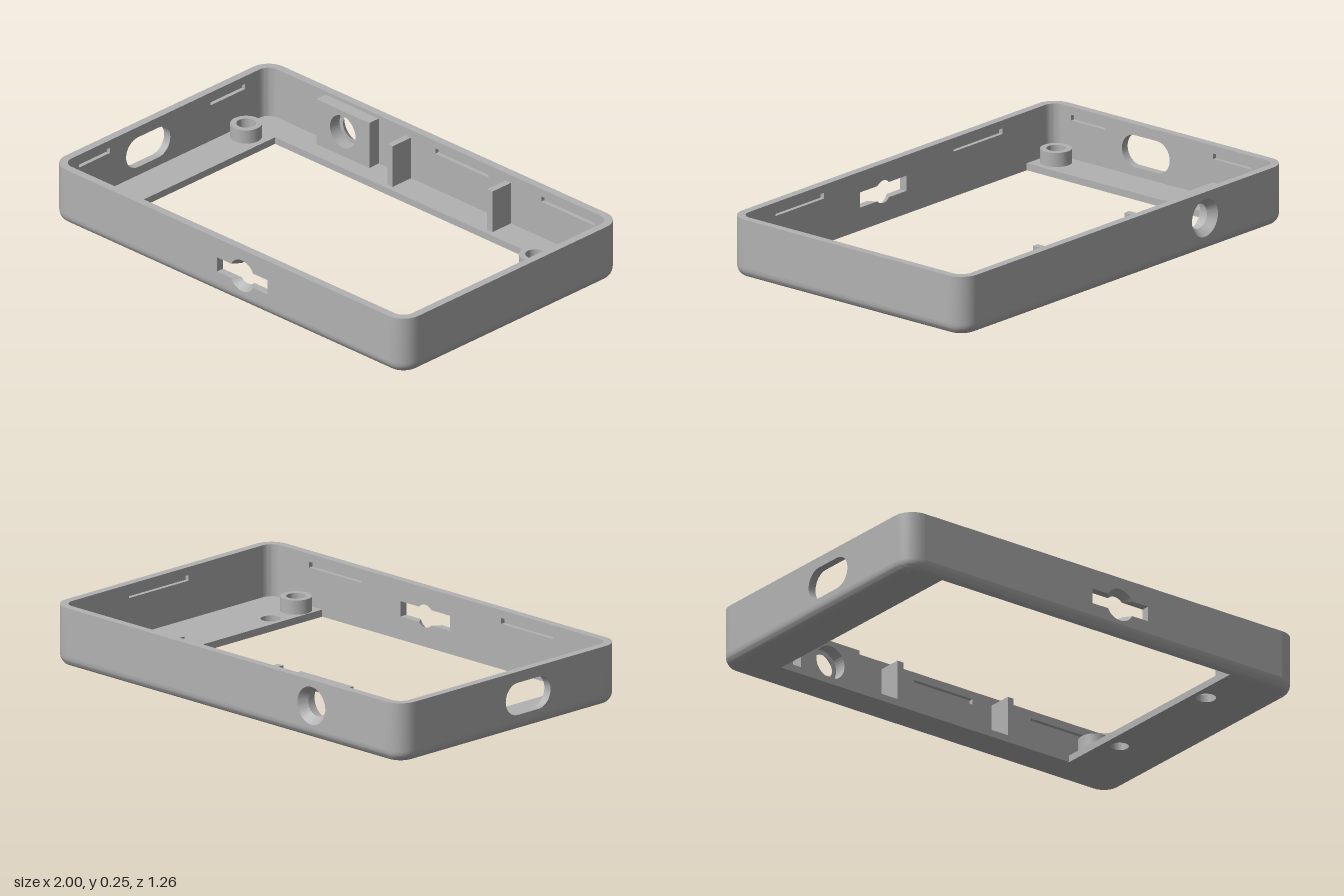
import * as THREE from 'three';
import { toCreasedNormals, mergeGeometries } from 'three/addons/utils/BufferGeometryUtils.js';

const W = 1, D = 0.63, H = 0.25;      // half width, half depth, height
const R = 0.085, T = 0.035;           // corner radius, wall thickness
const FLOOR = 0.03, INSET = 0.034, FILLET = 0.045;

const v2 = (x, y) => new THREE.Vector2(x, y);
const at = (pts, z) => pts.map(p => new THREE.Vector3(p.x, p.y, z));

// Quads between two rows of points
function loft(A, B, closed) {
  const pos = [], n = A.length;
  for (let i = 0; i < (closed ? n : n - 1); i++) {
    const j = (i + 1) % n;
    for (const p of [A[i], A[j], B[i], A[j], B[j], B[i]]) pos.push(p.x, p.y, p.z);
  }
  const g = new THREE.BufferGeometry();
  g.setAttribute('position', new THREE.Float32BufferAttribute(pos, 3));
  return toCreasedNormals(g, 0.6);
}

// Flat sheet with holes, facing +z or (flipped) -z
function sheet(pts, holes, z, flip) {
  const s = new THREE.Shape(pts);
  s.holes = holes.map(h => new THREE.Path(h));
  let g = new THREE.ShapeGeometry(s);
  if (flip) g.index.array.reverse();
  g = g.toNonIndexed();
  g.deleteAttribute('uv');
  g.translate(0, 0, z);
  g.computeVertexNormals();
  return g;
}

// Counter-clockwise outlines
const rect = (x0, x1, y0, y1) => [v2(x0, y0), v2(x1, y0), v2(x1, y1), v2(x0, y1)];
function arc(cx, cy, r, a0, a1, n = 16) {
  return Array.from({ length: n + 1 }, (_, i) => {
    const a = a0 + (a1 - a0) * i / n;
    return v2(cx + r * Math.cos(a), cy + r * Math.sin(a));
  });
}
const circle = (cx, cy, r) => arc(cx, cy, r, 0, Math.PI * 2, 40).slice(0, -1);
const stadium = (cx, cy, a, r) => [
  ...arc(cx + a, cy, r, -Math.PI / 2, Math.PI / 2), ...arc(cx - a, cy, r, Math.PI / 2, Math.PI * 1.5)];
function slotWithScoop(cx, cy, w, h, r) {
  const a = Math.asin(h / r), P = Math.PI;
  return [v2(cx + w, cy - h), v2(cx + w, cy + h), ...arc(cx, cy, r, a, P - a),
    v2(cx - w, cy + h), v2(cx - w, cy - h), ...arc(cx, cy, r, P + a, 2 * P - a)];
}

// Wall section as (inset, y): bottom fillet, outer face, rim, inner face
const fillet = Array.from({ length: 9 }, (_, i) => {
  const a = Math.PI / 2 * i / 8;
  return [INSET * (1 - Math.sin(a)), FILLET * (1 - Math.cos(a))];
});
const section = [...fillet, [0, H], [T, H], [T, 0]];

// Straight wall: outer face at z = 0, through cuts [outer, inner], shallow grooves [x0, x1]
function wallGeometry(half, cuts, grooves) {
  const strip = prof => loft(...[half, -half].map(x => prof.map(([i, y]) => new THREE.Vector3(x, y, -i))));
  const slots = grooves.map(([a, b]) => rect(a, b, 0.192, 0.216));
  const deep = -T + 0.018;
  return mergeGeometries([
    strip(fillet), strip([[0, H], [T, H]]),
    sheet(rect(-half, half, FILLET, H), cuts.map(c => c[0]), 0, false),
    sheet(rect(-half, half, 0, H), [...cuts.map(c => c[1]), ...slots], -T, true),
    ...cuts.map(([o, i]) => loft(at(o, 0), at(i, -T), true)),
    ...slots.flatMap(s => [loft(at(s, deep), at(s, -T), true), sheet(s, [], deep, true)]),
  ]);
}

export function createModel() {
  const model = new THREE.Group();
  const grey = new THREE.MeshStandardMaterial({ name: 'grey plastic', color: 0xb2b2b2 });
  const add = (name, geo, x = 0, y = 0, z = 0, ry = 0) => {
    const m = new THREE.Mesh(geo, grey);
    m.name = name;
    m.position.set(x, y, z);
    m.rotation.y = ry;
    model.add(m);
  };

  // Four walls with their openings and lid grooves
  const hx = W - R, hz = D - R;
  add('frontWall', wallGeometry(hx,
    [[slotWithScoop(0.085, 0.13, 0.1425, 0.0325, 0.07), slotWithScoop(0.085, 0.13, 0.1425, 0.0325, 0.048)]],
    [[0.45, 0.75], [-0.65, -0.35]]), 0, 0, D);
  add('backWall', wallGeometry(hx,
    [[circle(0.49, 0.14, 0.08), circle(0.49, 0.14, 0.052)]],
    [[-0.28, 0.02], [-0.88, -0.58]]), 0, 0, -D, Math.PI);
  add('leftWall', wallGeometry(hz, [], [[-0.12, 0.22]]), W, 0, 0, Math.PI / 2);
  const port = stadium(0.1, 0.135, 0.06, 0.068);
  add('rightWall', wallGeometry(hz, [[port, port]], [[0.32, 0.5], [-0.46, -0.26]]), -W, 0, 0, -Math.PI / 2);

  // Rounded corners
  const profile = section.map(([i, y]) => v2(R - i, y));
  [[1, 1], [1, -1], [-1, -1], [-1, 1]].forEach(([sx, sz], k) => {
    const g = new THREE.LatheGeometry(profile, 10, k * Math.PI / 2, Math.PI / 2);
    add('corner', toCreasedNormals(g, 0.6), sx * hx, 0, sz * hz);
  });

  // Floor with the display opening and two small holes (shape y is -z)
  const r = R - INSET, P = Math.PI / 2;
  const floor = new THREE.Shape([
    ...arc(hx, hz, r, 0, P, 8), ...arc(-hx, hz, r, P, 2 * P, 8),
    ...arc(-hx, -hz, r, 2 * P, 3 * P, 8), ...arc(hx, -hz, r, 3 * P, 4 * P, 8)]);
  floor.holes = [rect(-0.8, 0.675, -(D - T), 0.465), circle(0.745, 0.22, 0.036), circle(0.735, -0.36, 0.041)]
    .map(h => new THREE.Path(h));
  const floorGeo = new THREE.ExtrudeGeometry(floor, { depth: FLOOR, bevelEnabled: false });
  floorGeo.rotateX(-P);
  add('floor', floorGeo);

  // Screw bosses
  const boss = [[0.065, FLOOR], [0.065, 0.09], [0.04, 0.09], [0.04, FLOOR]].map(p => v2(...p));
  for (const x of [-0.89, 0.745]) for (const z of [-0.39, 0.515])
    add('screwBoss', toCreasedNormals(new THREE.LatheGeometry(boss, 32), 0.6), x, 0, z);

  // Socket block behind the round hole
  const block = new THREE.Shape(rect(-0.15, 0.15, FLOOR, 0.235));
  block.holes = [new THREE.Path(circle(0, 0.14, 0.072))];
  add('socketBlock', new THREE.ExtrudeGeometry(block, { depth: 0.055, bevelEnabled: false }), -0.49, 0, -D + T);

  // Support ribs on the back wall
  for (const x of [-0.172, 0.393])
    add('rib', new THREE.BoxGeometry(0.03, 0.185, 0.11), x, FLOOR + 0.0925, -0.543);

  return model;
}
